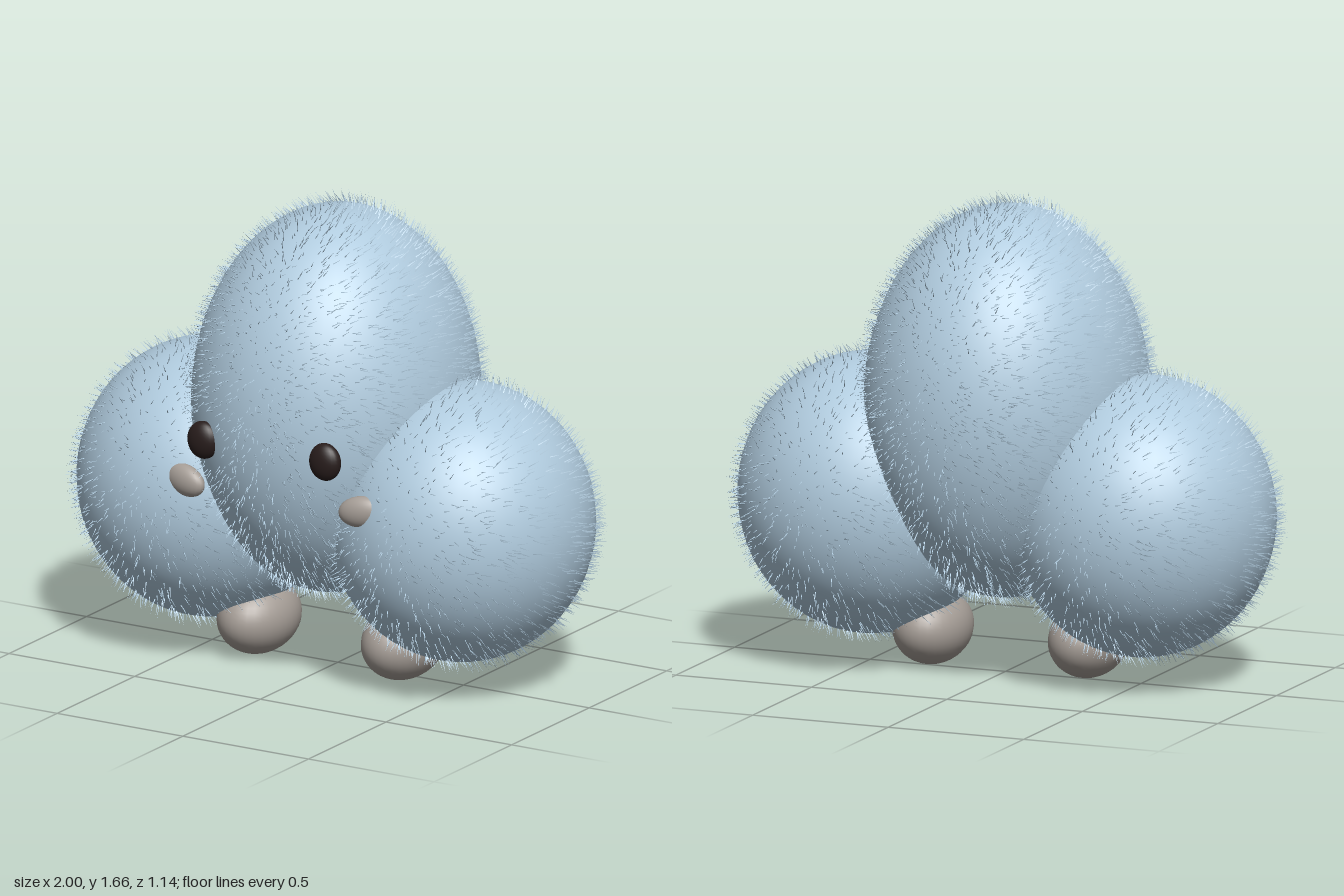
import * as THREE from 'three';

const material = (name, color) => {
  const m = new THREE.MeshStandardMaterial({ color });
  m.name = name;
  return m;
};

// Small seeded generator, so the fur is the same every time
function seeded(seed) {
  return () => {
    seed = (seed * 1664525 + 1013904223) % 4294967296;
    return seed / 4294967296;
  };
}

function ellipsoid(name, mat, { center, radii }, w = 32, h = 24) {
  const mesh = new THREE.Mesh(new THREE.SphereGeometry(1, w, h), mat);
  mesh.name = name;
  mesh.position.set(...center);
  mesh.scale.set(...radii);
  return mesh;
}

// True when a point lies inside the ellipsoid, enlarged by a margin
const inside = (p, { center: c, radii: r }, margin = 0) =>
  ((p.x - c[0]) / (r[0] + margin)) ** 2 +
  ((p.y - c[1]) / (r[1] + margin)) ** 2 +
  ((p.z - c[2]) / (r[2] + margin)) ** 2 < 1;

// Thin three-sided spikes over an ellipsoid, denser at its waist, combed around the y axis
function fur(name, mat, blob, count, blockers, bare, seed) {
  const random = seeded(seed);
  const positions = [];
  const golden = Math.PI * (3 - Math.sqrt(5));
  const center = new THREE.Vector3(...blob.center);
  const radii = new THREE.Vector3(...blob.radii);
  const up = new THREE.Vector3(0, 1, 0);
  for (let i = 0; i < count; i++) {
    const level = THREE.MathUtils.clamp(1 - (2 * (i + random())) / count, -1, 1);
    const y = Math.sign(level) * Math.abs(level) ** 1.2;
    const a = i * golden + (random() - 0.5) * 0.3;
    const ring = Math.sqrt(1 - y * y);
    const unit = new THREE.Vector3(ring * Math.cos(a), y, ring * Math.sin(a));
    const root = unit.clone().multiply(radii).add(center);
    if (blockers.some((b) => inside(root, b)) || bare.some((b) => inside(root, b, 0.045))) continue;

    const dir = unit.clone().divide(radii).normalize();
    const side = new THREE.Vector3().crossVectors(up, dir).normalize();
    const across = new THREE.Vector3().crossVectors(dir, side);
    const tip = root.clone()
      .addScaledVector(dir, 0.025 + 0.02 * random())
      .addScaledVector(side, 0.022 + 0.02 * (random() - 0.5))
      .addScaledVector(across, 0.022 * (random() - 0.5));
    const base = [0, 1, 2].map((k) => {
      const t = (k * 2 * Math.PI) / 3;
      return root.clone()
        .addScaledVector(side, 0.0022 * Math.cos(t))
        .addScaledVector(across, 0.0022 * Math.sin(t));
    });
    for (let k = 0; k < 3; k++)
      for (const p of [base[k], base[(k + 1) % 3], tip]) positions.push(p.x, p.y, p.z);
  }
  const geometry = new THREE.BufferGeometry();
  geometry.setAttribute('position', new THREE.Float32BufferAttribute(positions, 3));
  geometry.computeVertexNormals();
  const mesh = new THREE.Mesh(geometry, mat);
  mesh.name = name;
  return mesh;
}

export function createModel() {
  const group = new THREE.Group();
  group.name = 'furryCreature';
  const blue = material('paleBlue', 0xb0cbde);
  const dark = material('darkEye', 0x281d1c);
  const taupe = material('taupe', 0xa69e97);

  const midX = -0.006;
  const body = { center: [midX, 0.975, 0], radii: [0.48, 0.675, 0.525] };
  const lobes = [-1, 1].map((s) => ({ center: [midX + s * 0.5, 0.617, 0], radii: [0.455, 0.482, 0.455] }));
  const face = [];

  // Feet, eyes and cheeks, mirrored
  [-1, 1].forEach((s) => {
    const label = s > 0 ? 'left' : 'right';
    const eye = { center: [midX + s * 0.242, 0.905, 0.465], radii: [0.06, 0.066, 0.037] };
    const cheek = { center: [midX + s * 0.352, 0.73, 0.405], radii: [0.085, 0.055, 0.038] };
    const foot = { center: [midX + s * 0.287, 0.165, 0.032], radii: [0.13, 0.13, 0.178] };
    face.push(eye);
    group.add(ellipsoid(label + 'Eye', dark, eye, 24, 16));
    const cheekMesh = ellipsoid(label + 'Cheek', taupe, cheek, 24, 16);
    cheekMesh.rotation.set(0, s * 0.2, s * 0.15);
    group.add(cheekMesh);
    group.add(ellipsoid(label + 'Foot', taupe, foot));
    face.push({ center: cheek.center, radii: [0.045, 0.02, 0.03] });
  });

  // Tall body between two round side lobes
  group.add(ellipsoid('body', blue, body, 64, 48));
  group.add(fur('bodyFur', blue, body, 5200, lobes, face, 7));
  lobes.forEach((lobe, i) => {
    const label = i ? 'left' : 'right';
    group.add(ellipsoid(label + 'Lobe', blue, lobe, 48, 36));
    group.add(fur(label + 'LobeFur', blue, lobe, 2300, [body, lobes[1 - i]], face, 21 + i));
  });
  return group;
}
